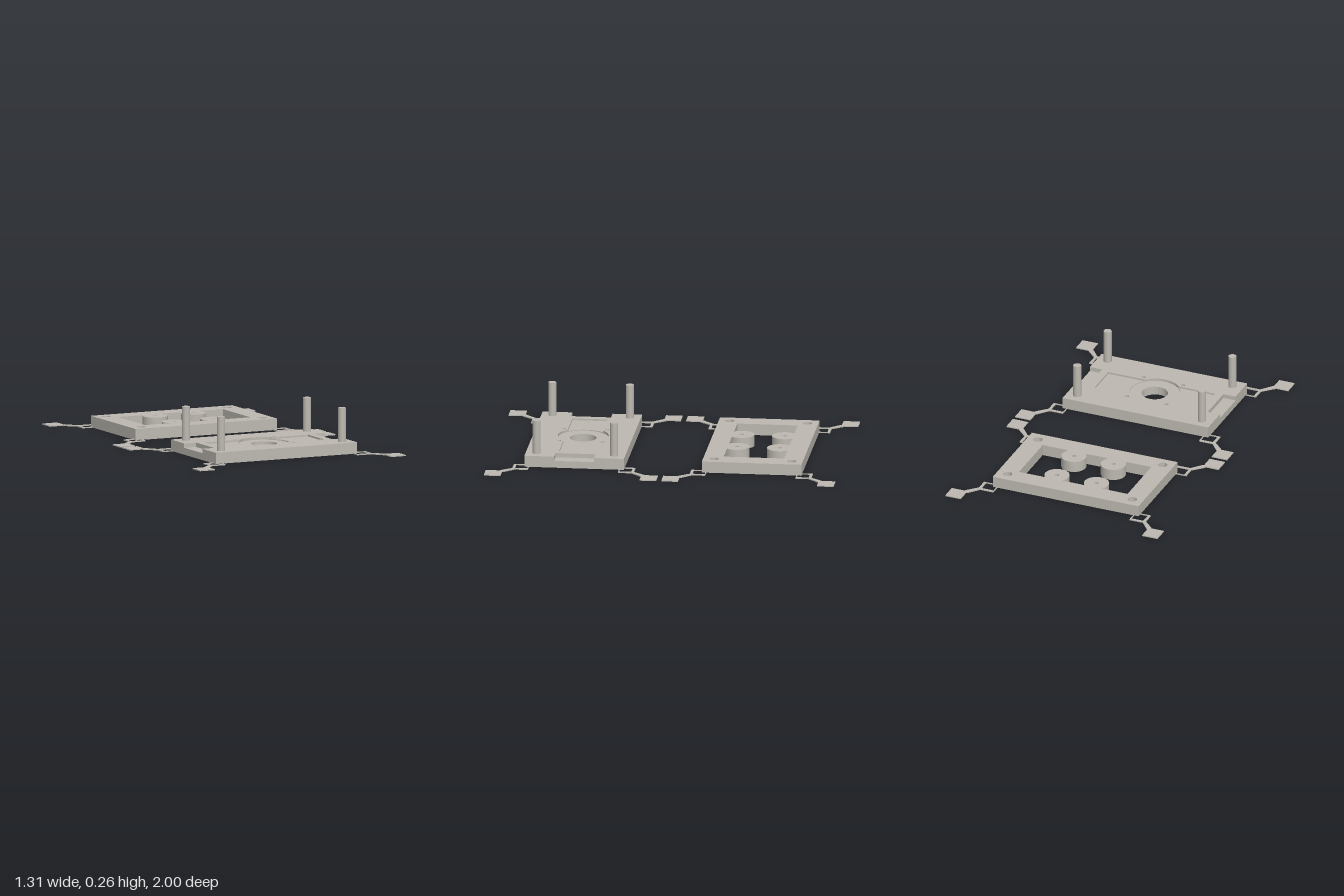
import * as THREE from 'three';
import { toCreasedNormals } from 'three/addons/utils/BufferGeometryUtils.js';

const W = 0.45, D = 0.285, H = 0.065;      // half width, half depth, thickness of a plate
const PEG_X = 0.385, PEG_Z = 0.222;        // corner pegs and sockets
const BOLT_X = 0.122, BOLT_Z = 0.123;      // inner bolt holes

const polygon = (pts) => new THREE.Shape(pts.map(([x, y]) => new THREE.Vector2(x, y)));
const rect = (w, d) => polygon([[-w, -d], [w, -d], [w, d], [-w, d]]);
const disc = (r, x = 0, y = 0) => new THREE.Shape().absarc(x, y, r, 0, Math.PI * 2, false);
const four = (x, z) => [[x, z], [-x, z], [-x, -z], [x, -z]];
const holesAt = (x, z, r) => four(x, z).map(([a, b]) => disc(r, a, b));

export function createModel() {
  const material = new THREE.MeshStandardMaterial({ color: 0xbdb9b1 });
  material.name = 'warm grey';

  // Horizontal slab between two heights, with holes
  function slab(parent, name, shape, holes, y0, y1) {
    shape.holes = holes;
    let geo = new THREE.ExtrudeGeometry(shape, { depth: y1 - y0, bevelEnabled: false, curveSegments: 32 });
    geo.rotateX(-Math.PI / 2);
    geo = toCreasedNormals(geo, 0.6);
    const mesh = new THREE.Mesh(geo, material);
    mesh.name = name;
    mesh.position.y = y0;
    parent.add(mesh);
  }

  // Thin corner pads with their struts, mirrored to all four corners
  function cornerPads(parent) {
    const bar = (x0, x1, z0, z1) => [[x0, z0], [x1, z0], [x1, z1], [x0, z1]];
    const pieces = {
      pad: bar(0.56, 0.655, 0.398, 0.493),
      diagonalStrut: [[0.5, 0.345], [0.515, 0.332], [0.575, 0.392], [0.575, 0.413], [0.555, 0.413]],
      crossBar: bar(0.42, 0.515, 0.333, 0.348),
      sideBar: bar(0.5, 0.515, 0.258, 0.348),
      crossTie: bar(0.42, 0.425, D - 0.01, 0.335),
      sideTie: bar(W - 0.01, 0.502, 0.258, 0.263),
    };
    for (const [sx, sz] of four(1, 1)) {
      const corner = new THREE.Group();
      corner.name = 'cornerPad';
      for (const [name, pts] of Object.entries(pieces)) {
        slab(corner, name, polygon(pts.map(([x, z]) => [x * sx, z * sz])), [], 0, 0.006);
      }
      parent.add(corner);
    }
  }

  // Base plate: stacked layers make the notches, recesses and stepped holes
  const base = new THREE.Group();
  base.name = 'basePlate';
  base.position.z = 0.506;
  const bore = () => disc(0.075);
  const bolts = (r) => holesAt(BOLT_X, BOLT_Z, r);
  const notched = () => polygon([
    [-W, -D], [W, -D], [W, -0.115], [0.375, -0.115], [0.375, 0.115], [W, 0.115],
    [W, D], [-W, D], [-W, 0.115], [-0.375, 0.115], [-0.375, -0.115], [-W, -0.115],
  ]);
  // Rectangular recess widened by a round one
  const R = 0.145, rw = 0.33, rd = 0.1, a = Math.asin(rd / R);
  const recess = new THREE.Shape();
  recess.moveTo(rw, -rd);
  recess.lineTo(rw, rd);
  recess.absarc(0, 0, R, a, Math.PI - a, false);
  recess.lineTo(-rw, rd);
  recess.lineTo(-rw, -rd);
  recess.absarc(0, 0, R, Math.PI + a, Math.PI * 2 - a, false);
  recess.closePath();
  slab(base, 'baseUnderside', rect(W, D), [bore(), ...bolts(0.025)], 0, 0.02);
  slab(base, 'baseCore', rect(W, D), [bore(), ...bolts(0.012)], 0.02, 0.04);
  slab(base, 'baseNotchedLayer', notched(), [bore(), ...bolts(0.012)], 0.04, 0.05);
  slab(base, 'baseRoundRecess', notched(), [disc(R), ...bolts(0.012)], 0.05, 0.055);
  slab(base, 'baseTop', notched(), [recess, ...bolts(0.012)], 0.055, H);

  // Pegs
  for (const [x, z] of four(PEG_X, PEG_Z)) {
    const peg = new THREE.Mesh(new THREE.CylinderGeometry(0.023, 0.023, 0.22, 32), material);
    peg.name = 'peg';
    peg.position.set(x, 0.15, z);
    base.add(peg);
  }
  cornerPads(base);

  // Cover frame with blind sockets for the pegs
  const cover = new THREE.Group();
  cover.name = 'coverFrame';
  cover.position.z = -0.51;
  const opening = () => rect(0.335, 0.173);
  slab(cover, 'frameUnderside', rect(W, D), [opening()], 0, 0.02);
  slab(cover, 'frameTop', rect(W, D), [opening(), ...holesAt(PEG_X, PEG_Z, 0.026)], 0.02, H);

  // Round bosses with stepped bolt holes
  for (const [x, z] of four(BOLT_X, BOLT_Z)) {
    slab(cover, 'bossLower', disc(0.072, x, z), [disc(0.028, x, z)], 0, 0.03);
    slab(cover, 'bossUpper', disc(0.072, x, z), [disc(0.012, x, z)], 0.03, H);
  }
  cornerPads(cover);

  const model = new THREE.Group();
  model.name = 'twoPartEnclosure';
  model.add(base, cover);
  return model;
}
